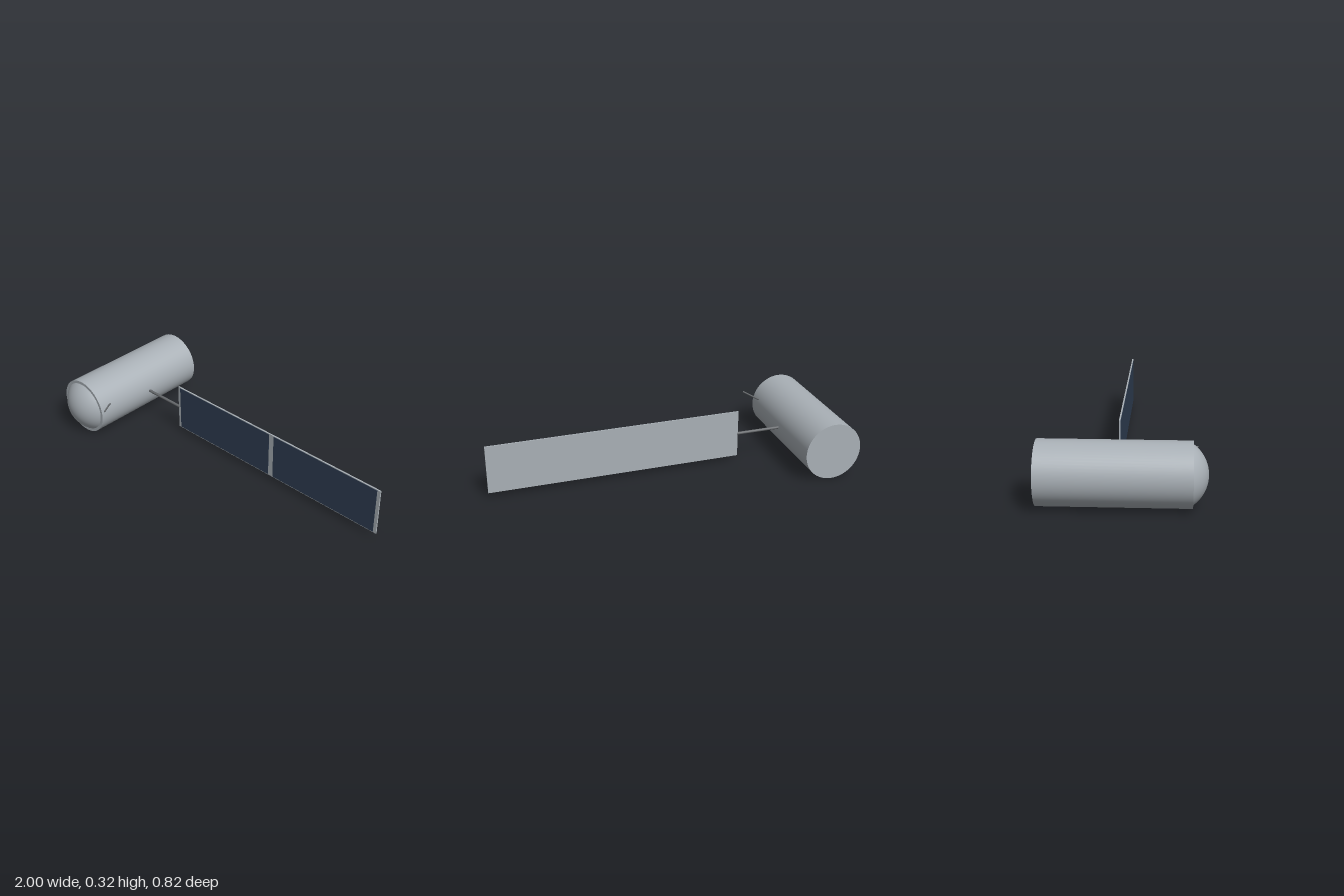
import * as THREE from 'three';

export function createModel() {
  const group = new THREE.Group();
  const material = (name, color) => {
    const m = new THREE.MeshStandardMaterial({ color });
    m.name = name;
    return m;
  };
  const metal = material('light metal', 0xa9b0b6);
  const darkMetal = material('dark metal', 0x66696c);
  const cellBlue = material('navy solar cell', 0x2f3e53);

  const add = (name, geometry, mat, x = 0, y = 0, z = 0) => {
    const mesh = new THREE.Mesh(geometry, mat);
    mesh.name = name;
    mesh.position.set(x, y, z);
    group.add(mesh);
    return mesh;
  };
  // Thin round bar between two points
  const addRod = (name, from, to, radius) => {
    const a = new THREE.Vector3(...from), b = new THREE.Vector3(...to);
    const dir = b.clone().sub(a);
    const rod = add(name, new THREE.CylinderGeometry(radius, radius, dir.length(), 16), darkMetal);
    rod.position.copy(a).lerp(b, 0.5);
    rod.quaternion.setFromUnitVectors(new THREE.Vector3(0, 1, 0), dir.normalize());
  };

  const bodyX = -0.838, bodyY = 0.162, bodyR = 0.162;
  const bodyBack = -0.412, bodyFront = 0.338;
  const panelZ = -0.037;

  // Cylindrical body lying along z
  const body = new THREE.CylinderGeometry(bodyR, bodyR, bodyFront - bodyBack, 64).rotateX(Math.PI / 2);
  add('body', body, metal, bodyX, bodyY, (bodyFront + bodyBack) / 2);

  // Shallow spherical dome on the front end
  const rimR = 0.145, depth = 0.074;
  const domeR = (rimR * rimR + depth * depth) / (2 * depth);
  const dome = new THREE.SphereGeometry(domeR, 48, 20, 0, Math.PI * 2, 0, Math.asin(rimR / domeR)).rotateX(Math.PI / 2);
  add('noseDome', dome, metal, bodyX, bodyY, bodyFront + depth - domeR);

  // Boom carrying the solar wing, and the small antenna
  addRod('boom', [bodyX + 0.14, 0.165, panelZ], [-0.42, 0.165, panelZ], 0.008);
  addRod('antenna', [-0.69, 0.21, 0.262], [-0.622, 0.232, 0.362], 0.0045);

  // Solar wing: flat frame with two cell fields on its front
  add('wingFrame', new THREE.BoxGeometry(1.425, 0.274, 0.008), metal, 0.2875, 0.165, panelZ);
  for (const x of [-0.069, 0.642]) {
    add('solarCells', new THREE.BoxGeometry(0.679, 0.266, 0.002), cellBlue, x, 0.165, panelZ + 0.0042);
  }
  return group;
}
